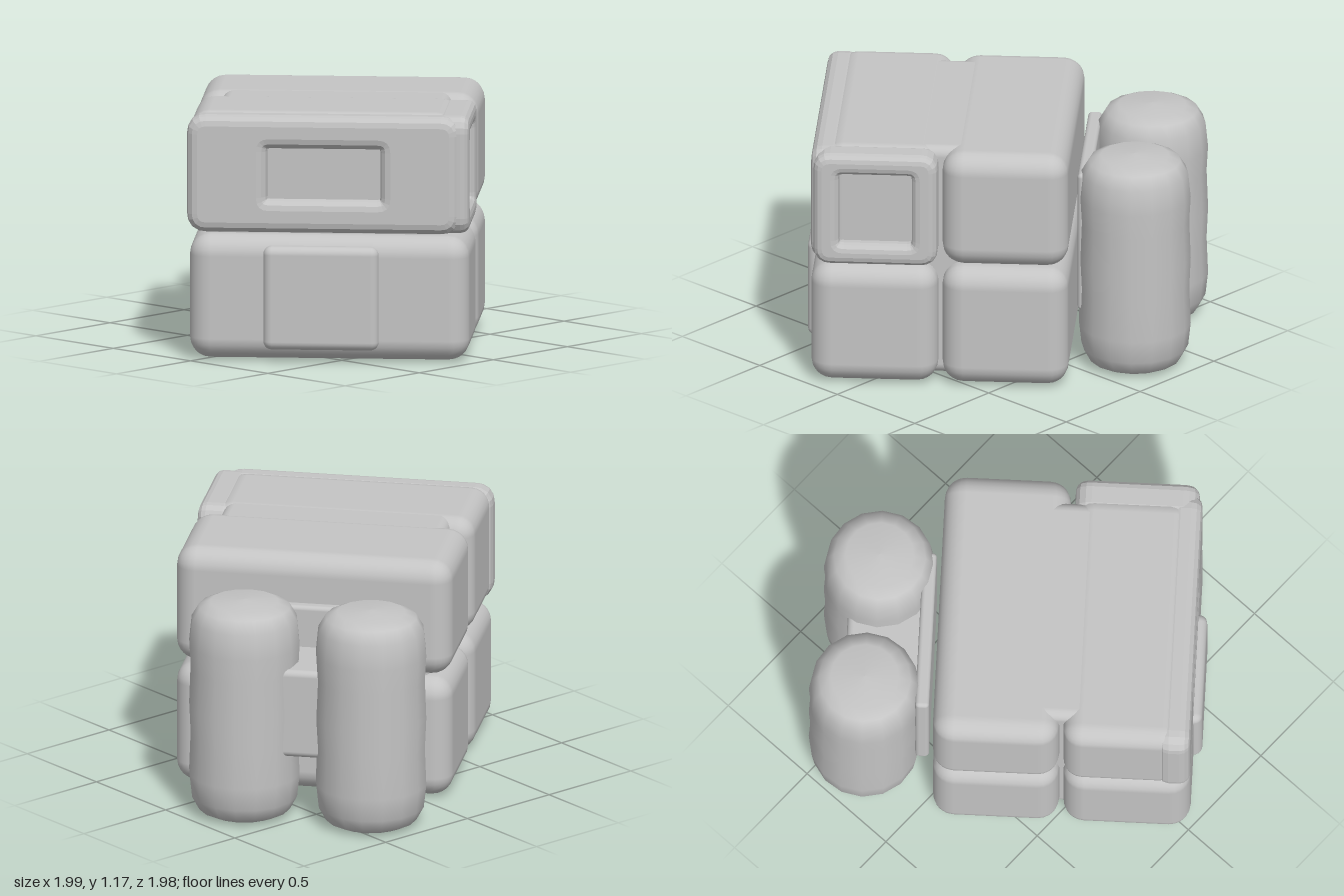
import * as THREE from 'three';
import { RoundedBoxGeometry } from 'three/addons/geometries/RoundedBoxGeometry.js';

const grey = new THREE.MeshStandardMaterial({ color: 0xc4c4c4 });
grey.name = 'stone grey';

function add(parent, name, geometry, x = 0, y = 0, z = 0) {
  const mesh = new THREE.Mesh(geometry, grey);
  mesh.name = name;
  mesh.position.set(x, y, z);
  parent.add(mesh);
  return mesh;
}

// Rounded box given by its lower and upper corners
function block(parent, name, [x0, y0, z0], [x1, y1, z1], radius) {
  const g = new RoundedBoxGeometry(x1 - x0, y1 - y0, z1 - z0, 3, radius);
  return add(parent, name, g, (x0 + x1) / 2, (y0 + y1) / 2, (z0 + z1) / 2);
}

function rectangle(target, w, h, r) {
  const a = w / 2, b = h / 2;
  target.moveTo(-a + r, -b);
  target.lineTo(a - r, -b); target.quadraticCurveTo(a, -b, a, -b + r);
  target.lineTo(a, b - r); target.quadraticCurveTo(a, b, a - r, b);
  target.lineTo(-a + r, b); target.quadraticCurveTo(-a, b, -a, b - r);
  target.lineTo(-a, -b + r); target.quadraticCurveTo(-a, -b, -a + r, -b);
  return target;
}

// Raised rim around a recessed panel, facing +z
function rim(w, h, holeW, holeH, depth, bevel) {
  const shape = rectangle(new THREE.Shape(), w, h, 0.04);
  shape.holes.push(rectangle(new THREE.Path(), holeW, holeH, 0.06));
  return new THREE.ExtrudeGeometry(shape, {
    depth, bevelEnabled: true, bevelThickness: bevel, bevelSize: bevel, bevelSegments: 3, curveSegments: 4,
  });
}

export function createModel() {
  const model = new THREE.Group();
  model.name = 'stackedBlocksWithTanks';

  // The whole arrangement is turned about the vertical axis
  const stack = new THREE.Group();
  stack.name = 'stack';
  stack.position.set(-0.13, 0, 0.11);
  stack.rotation.y = -0.877;
  model.add(stack);

  // Four long blocks, two wide and two high; one is inset to hold rims
  block(stack, 'lowerOuterBlock', [-0.65, 0.025, 0.01], [0.66, 0.615, 0.605], 0.1);
  block(stack, 'lowerInnerBlock', [-0.65, 0.025, -0.6], [0.66, 0.615, -0.01], 0.1);
  block(stack, 'upperOuterBlock', [-0.65, 0.625, 0.01], [0.59, 1.19, 0.55], 0.09);
  block(stack, 'upperInnerBlock', [-0.65, 0.625, -0.6], [0.66, 1.19, -0.01], 0.1);

  // Core closing the seams between the blocks
  block(stack, 'core', [-0.54, 0.04, -0.53], [0.54, 1.187, 0.5], 0.05);

  // Recessed panels of the upper outer block, and the raised one below
  const endRim = add(stack, 'endRim', rim(0.5, 0.475, 0.42, 0.43, 0.08, 0.04), 0.54, 0.905, 0.3);
  endRim.rotation.y = Math.PI / 2;
  add(stack, 'sideRim', rim(1.18, 0.455, 0.63, 0.34, 0.05, 0.05), -0.02, 0.905, 0.505);
  block(stack, 'sidePanel', [-0.3, 0.08, 0.5], [0.24, 0.57, 0.645], 0.04);

  // Two upright tanks with rounded ends and shallow waists
  const profile = [
    [0, 0.02], [0.16, 0.02], [0.215, 0.045], [0.25, 0.11], [0.262, 0.22], [0.255, 0.4], [0.262, 0.55],
    [0.255, 0.74], [0.262, 0.86], [0.25, 0.98], [0.215, 1.04], [0.16, 1.065], [0, 1.075],
  ].map(([r, y]) => new THREE.Vector2(r, y));
  for (const [name, x, z] of [['rearTank', -0.335, -0.93], ['frontTank', 0.273, -0.89]]) {
    add(stack, name, new THREE.LatheGeometry(profile, 16), x, 0, z);
  }

  // Thin backing plate standing clear of the blocks, and the bridge joining the tanks
  block(stack, 'tankBackplate', [-0.44, 0.29, -0.69], [0.33, 0.98, -0.625], 0.02);
  block(stack, 'tankBridge', [-0.3, 0.35, -1.03], [0.26, 0.78, -0.66], 0.03);

  return model;
}
